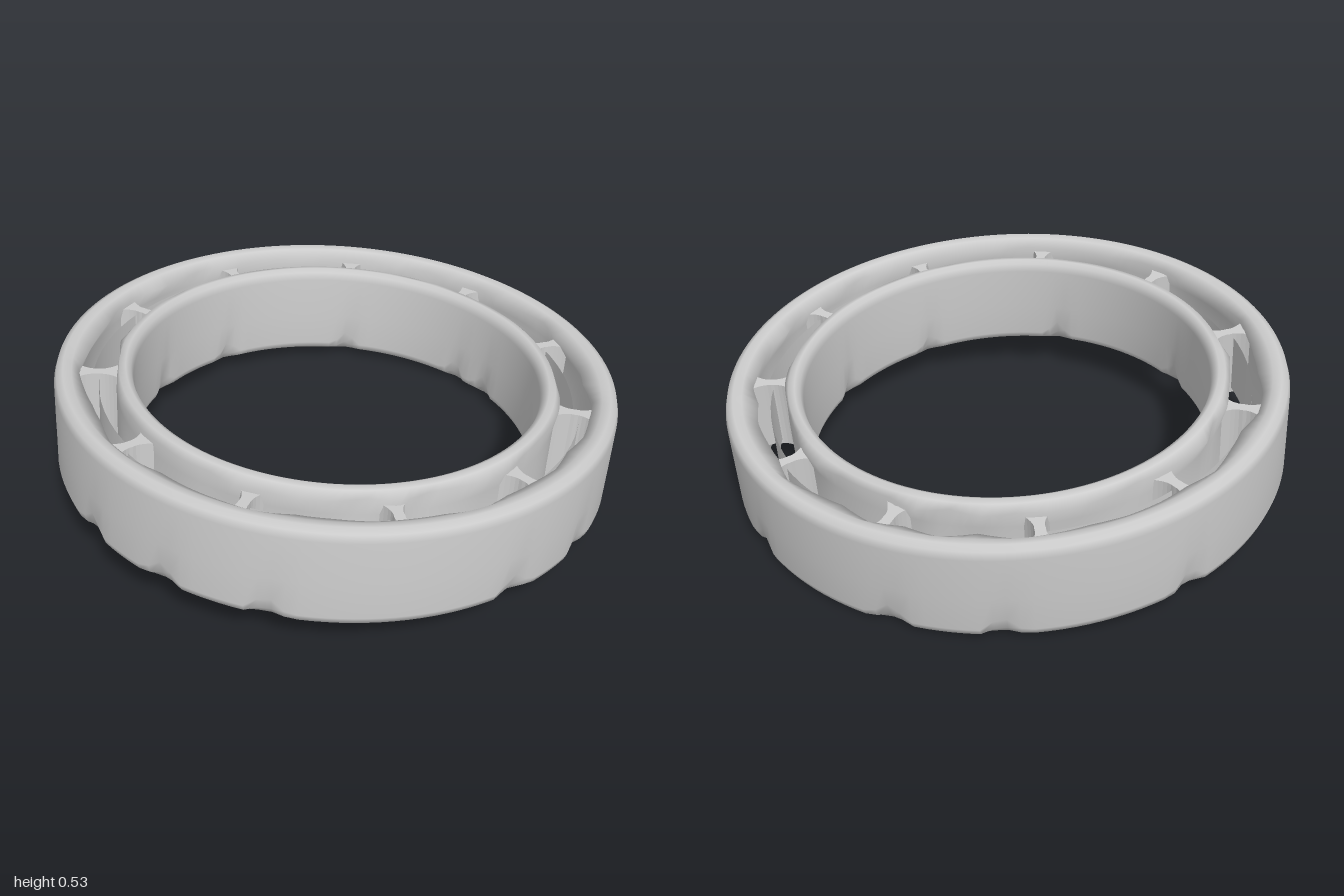
import * as THREE from 'three';

const HALF = 0.18;      // half height of the rings
const SEG = 144;

// repeatable irregularity around the circle
function wobble(i, seed) {
  const s = Math.sin((i % SEG) * 12.9898 + seed * 78.233) * 43758.5453;
  return s - Math.floor(s);
}

// Closed ring swept from a cross-section; section(i) gives [radius, y] corners, counter-clockwise
function sweptRing(section) {
  const pos = [], index = [];
  let n = 0;
  for (let i = 0; i < SEG; i++) {
    const a = (i / SEG) * Math.PI * 2;
    const pts = section(i);
    n = pts.length;
    for (const [r, y] of pts) pos.push(r * Math.sin(a), y, r * Math.cos(a));
  }
  for (let i = 0; i < SEG; i++) {
    const k = (i + 1) % SEG;
    for (let j = 0; j < n; j++) {
      const m = (j + 1) % n;
      const a = i * n + j, b = k * n + j, c = k * n + m, d = i * n + m;
      index.push(a, b, c, a, c, d);
    }
  }
  const g = new THREE.BufferGeometry();
  g.setAttribute('position', new THREE.Float32BufferAttribute(pos, 3));
  g.setIndex(index);
  g.computeVertexNormals();
  return g;
}

// Strength of the nearest lower-edge dent, 0 to 1
function dent(i, angles) {
  const deg = (i / SEG) * 360;
  let best = 0;
  for (const a of angles) {
    const d = Math.abs(((deg - a + 540) % 360) - 180);
    best = Math.max(best, 1 - d / 4);
  }
  return best;
}

export function createModel() {
  const model = new THREE.Group();
  const steel = new THREE.MeshStandardMaterial({ color: 0xcccccc, side: THREE.DoubleSide });
  steel.name = 'steel grey';

  const bearing = new THREE.Group();
  bearing.name = 'tiltedBearing';
  bearing.rotation.x = THREE.MathUtils.degToRad(-5);
  bearing.position.y = 0.266;
  model.add(bearing);

  const add = (name, geometry, parent = bearing) => {
    const mesh = new THREE.Mesh(geometry, steel);
    mesh.name = name;
    parent.add(mesh);
    return mesh;
  };

  // uneven edge facing the gap, changing every few segments
  const jag = (i, seed) => {
    const step = 3, k = Math.floor(i / step), t = (i % step) / step;
    const v = (q) => wobble(q % (SEG / step), seed);
    return v(k) * (1 - t) + v(k + 1) * t;
  };

  // outer ring: smooth outside, uneven gap side, small dents along the lower edge
  const outerDents = [34, 82, 102, 122, 158, 193, 214, 251, 304, 326, 353, 13];
  add('outerRing', sweptRing((i) => {
    const d = dent(i, outerDents);
    const inTop = 0.905 - 0.035 * jag(i, 1), inLow = 0.905 - 0.035 * jag(i, 2);
    return [
      [0.955 - 0.012 * d, -HALF],
      [0.977 - 0.018 * d, -HALF + 0.012 + 0.02 * d],
      [0.985 - 0.012 * d, -HALF + 0.035 + 0.05 * d],
      [0.985, -0.02],
      [0.985, HALF - 0.04],
      [0.977, HALF - 0.012],
      [0.955, HALF],
      [0.925, HALF - 0.005],
      [inTop, HALF - 0.03],
      [0.91, HALF - 0.09],
      [0.91, -HALF + 0.09],
      [inLow, -HALF + 0.03],
      [0.925, -HALF + 0.005],
    ];
  }));

  // inner ring: smooth bore, uneven gap side
  const innerDents = [20, 62, 95, 140, 172, 184, 222, 262, 290, 335];
  add('innerRing', sweptRing((i) => {
    const d = dent(i, innerDents);
    const outTop = 0.768 + 0.035 * jag(i, 3), outLow = 0.768 + 0.035 * jag(i, 4);
    return [
      [0.765, -HALF + 0.005],
      [outLow, -HALF + 0.03],
      [0.775, -HALF + 0.09],
      [0.775, HALF - 0.09],
      [outTop, HALF - 0.03],
      [0.765, HALF - 0.005],
      [0.742, HALF],
      [0.724, HALF - 0.012],
      [0.715, HALF - 0.04],
      [0.715, -0.02],
      [0.715 + 0.012 * d, -HALF + 0.035 + 0.05 * d],
      [0.724 + 0.018 * d, -HALF + 0.012 + 0.02 * d],
      [0.742 + 0.012 * d, -HALF],
    ];
  }));

  // waisted struts crossing the gap, joined by a thin cage wall
  const strut = new THREE.Shape();
  strut.moveTo(-0.045, -0.07);
  strut.quadraticCurveTo(-0.012, -0.03, -0.018, 0);
  strut.quadraticCurveTo(-0.012, 0.03, -0.05, 0.075);
  strut.lineTo(0.045, 0.075);
  strut.quadraticCurveTo(0.012, 0.03, 0.018, 0);
  strut.quadraticCurveTo(0.012, -0.03, 0.04, -0.07);
  strut.closePath();
  const strutGeo = new THREE.ExtrudeGeometry(strut, { depth: 0.26, bevelEnabled: false, curveSegments: 5 });
  strutGeo.translate(0, 0, -0.13);
  strutGeo.rotateX(Math.PI / 2);

  const cage = new THREE.Group();
  cage.name = 'cage';
  bearing.add(cage);
  const COUNT = 11, pitch = (Math.PI * 2) / COUNT;
  for (let i = 0; i < COUNT; i++) {
    const a = i * pitch + THREE.MathUtils.degToRad(-6.5);
    const s = add('cageStrut', strutGeo, cage);
    s.position.set(0.84 * Math.sin(a), 0, 0.84 * Math.cos(a));
    s.rotation.y = a;
    const r = i % 3 === 1 ? 0.835 : 0.858;
    add('cageWall', new THREE.CylinderGeometry(r, r, 0.22, 8, 1, true, a, pitch), cage);
  }
  return model;
}
